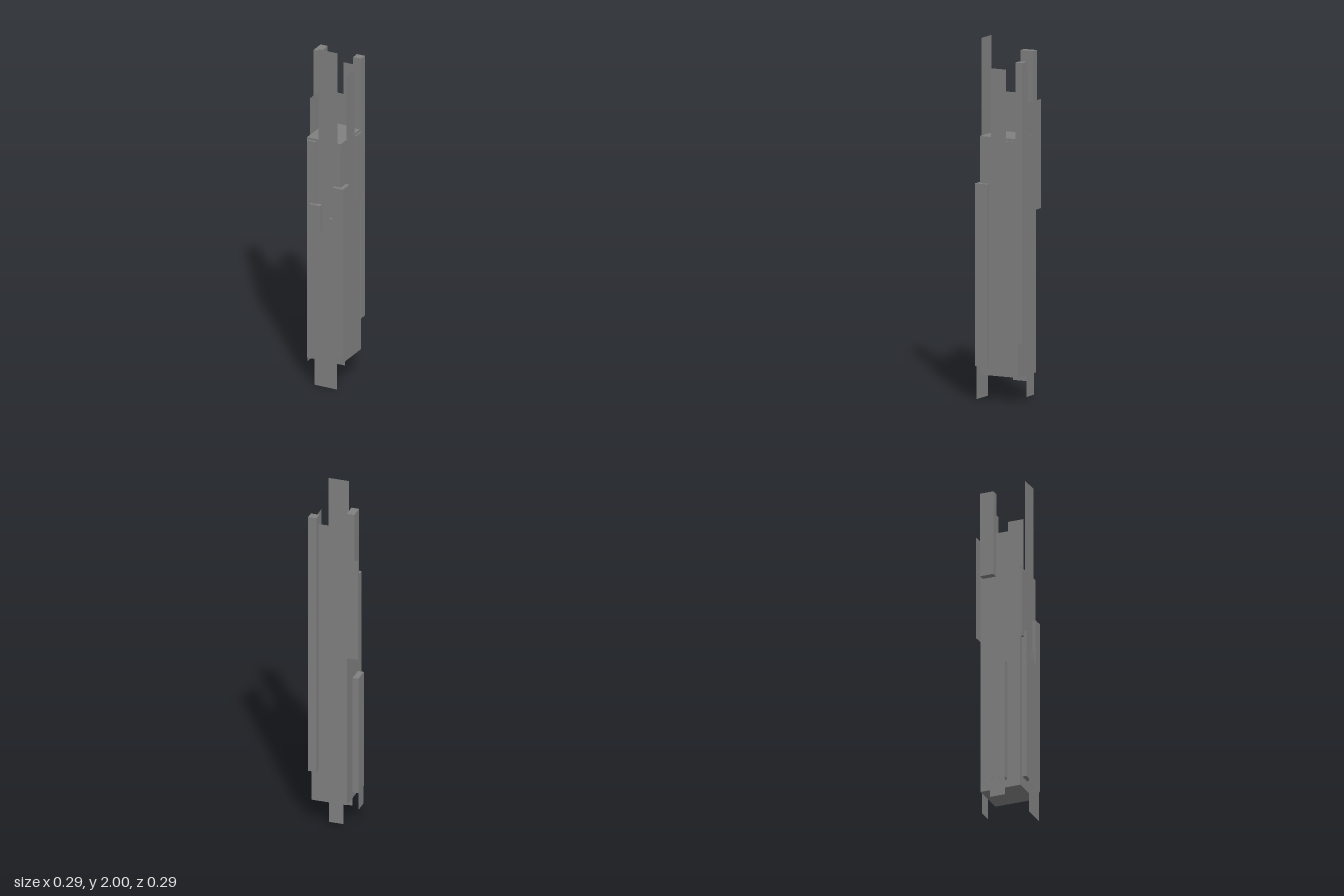
import * as THREE from 'three';

export function createModel() {
  const model = new THREE.Group();
  model.name = 'tower';
  const grey = new THREE.MeshStandardMaterial({ color: 0x808080, side: THREE.DoubleSide });
  grey.name = 'grey';

  const add = (name, geometry, x, y, z) => {
    const mesh = new THREE.Mesh(geometry, grey);
    mesh.name = name;
    mesh.position.set(x, y, z);
    model.add(mesh);
    return mesh;
  };
  const mid = (a, b) => (a + b) / 2;

  // Solid block between two limits on each axis
  const block = (name, [x0, x1], [y0, y1], [z0, z1]) =>
    add(name, new THREE.BoxGeometry(x1 - x0, y1 - y0, z1 - z0), mid(x0, x1), mid(y0, y1), mid(z0, z1));

  // Thin sheet across the front or back, at one z
  const sheetZ = (name, [x0, x1], [y0, y1], z) =>
    add(name, new THREE.PlaneGeometry(x1 - x0, y1 - y0), mid(x0, x1), mid(y0, y1), z);

  // Thin sheet along a side, at one x
  const sheetX = (name, x, [y0, y1], [z0, z1]) => {
    add(name, new THREE.PlaneGeometry(z1 - z0, y1 - y0), x, mid(y0, y1), mid(z0, z1)).rotation.y = Math.PI / 2;
  };

  // Main shaft
  block('shaft', [-0.085, 0.122], [0.14, 1.46], [-0.116, 0.121]);

  // Posts standing against the shaft
  block('backLeftPost', [0.08, 0.129], [0.33, 1.885], [-0.147, -0.102]);
  block('frontLeftPost', [0.082, 0.145], [0.19, 1.2], [0.063, 0.139]);
  block('rightPost', [-0.125, -0.091], [0.185, 0.885], [-0.042, 0.047]);
  block('backRightPost', [-0.122, -0.078], [1.42, 1.917], [-0.103, -0.023]);
  block('frontPost', [-0.059, 0.008], [0.2, 1.075], [0.11, 0.147]);

  // Shallow raised panels
  block('frontPanel', [-0.081, -0.025], [1.04, 1.445], [0.11, 0.131]);
  block('frontLowPanel', [0.058, 0.11], [0.19, 1.005], [0.11, 0.131]);
  block('leftPanel', [0.11, 0.13], [1.04, 1.445], [-0.108, -0.043]);

  // Sheets rising above the shaft
  sheetZ('frontTallSheet', [-0.015, 0.103], [1.3, 2], 0.12);
  sheetZ('backWideSheet', [-0.147, 0.014], [1.04, 1.645], -0.115);
  sheetZ('backTallSheet', [0.012, 0.1], [1.3, 1.835], -0.115);
  sheetX('leftTallSheet', 0.121, [1.3, 1.84], [-0.042, 0.051]);
  sheetX('rightTallSheet', -0.084, [1.2, 1.68], [-0.03, 0.089]);

  // Sheets hanging below the shaft
  sheetZ('frontLowSheet', [-0.026, 0.113], [0, 0.93], 0.1475);
  sheetZ('backLowSheet', [-0.063, 0.021], [0.02, 0.6], -0.115);
  sheetX('rightLowSheet', -0.124, [0.08, 0.88], [-0.041, 0.046]);

  return model;
}
